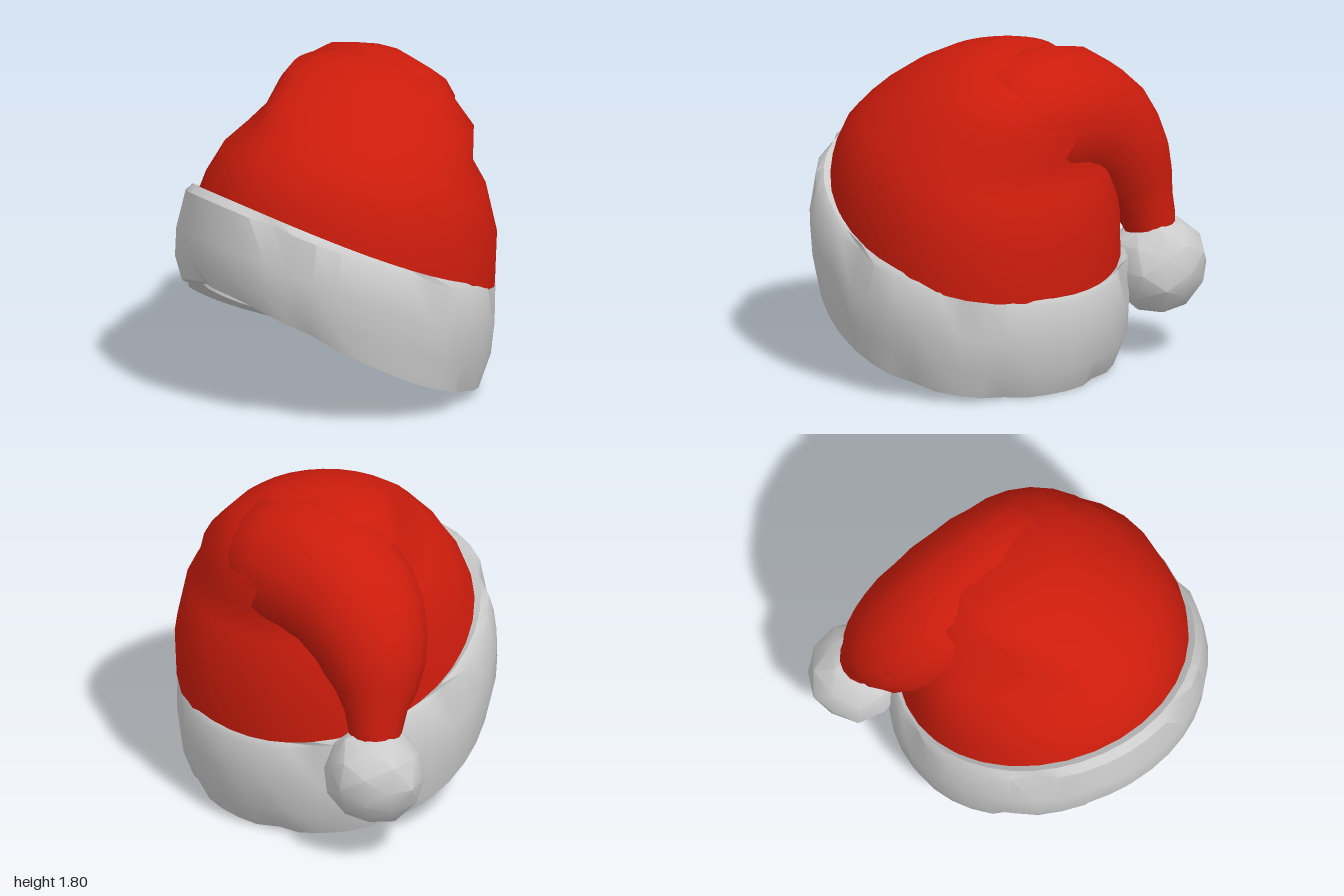
import * as THREE from 'three';
import { toCreasedNormals } from 'three/addons/utils/BufferGeometryUtils.js';

const red = new THREE.MeshStandardMaterial({ color: 0xcc1c0c });
const grey = new THREE.MeshStandardMaterial({ color: 0xcccccc });

// Skin a list of closed rings (arrays of Vector3 of equal length)
function loft(rings, crease) {
  const n = rings[0].length, pos = [];
  const tri = (a, b, c) => {
    if (a.distanceTo(b) > 1e-5 && b.distanceTo(c) > 1e-5 && c.distanceTo(a) > 1e-5)
      for (const p of [a, b, c]) pos.push(p.x, p.y, p.z);
  };
  for (let i = 0; i < rings.length - 1; i++) {
    for (let j = 0; j < n; j++) {
      const k = (j + 1) % n;
      tri(rings[i][j], rings[i][k], rings[i + 1][j]);
      tri(rings[i][k], rings[i + 1][k], rings[i + 1][j]);
    }
  }
  const g = new THREE.BufferGeometry();
  g.setAttribute('position', new THREE.Float32BufferAttribute(pos, 3));
  return toCreasedNormals(g, crease);
}

// Tilted, sagging oval; scale(j, sin, cos) pushes single points in or out
function oval(n, [xMin, xMax, zF, zB, yF, yB, yM], scale) {
  const cx = (xMin + xMax) / 2, cz = (zF + zB) / 2;
  const slope = (yF - yB) / 2, sag = (yF + yB) / 2 - yM;
  return Array.from({ length: n }, (_, j) => {
    const t = (j / n) * Math.PI * 2, s = Math.sin(t), c = Math.cos(t);
    const k = scale(j, s, c);
    return new THREE.Vector3(
      cx + (k * s * (xMax - xMin)) / 2,
      yM + slope * c + sag * c * c,
      cz + (k * c * (zF - zB)) / 2);
  });
}

function add(group, name, geometry, material) {
  const mesh = new THREE.Mesh(geometry, material);
  mesh.name = name;
  group.add(mesh);
  return mesh;
}

export function createModel() {
  const hat = new THREE.Group();
  hat.name = 'hat';

  // Fur band with its lining: inside top, down, under the rim, up the outside
  // each row: xMin, xMax, zFront, zBack, yFront, yBack, ySides
  const bandRows = [
    [0.1, 0.1, -0.1, -0.1, 1.35, 1.35, 1.35],
    [-0.36, 0.6, 0.3, -0.5, 1.28, 1.0, 1.15],
    [-0.58, 0.83, 0.62, -0.72, 1.12, 0.55, 0.8],
    [-0.58, 0.82, 0.71, -0.69, 0.67, 0.04, 0.25],
    [-0.7, 0.94, 0.82, -0.77, 0.71, 0.0, 0.22],
    [-0.74, 0.97, 0.86, -0.84, 0.84, 0.15, 0.38],
    [-0.75, 1.0, 0.85, -0.85, 0.98, 0.32, 0.58],
    [-0.72, 0.98, 0.81, -0.86, 1.19, 0.53, 0.8],
    [-0.69, 0.95, 0.76, -0.84, 1.22, 0.56, 0.83],
    [-0.64, 0.9, 0.69, -0.78, 1.18, 0.53, 0.79]
  ];
  // points pinched inwards on the lower and upper edges
  const pinches = { 4: [5, 13, 17, 22, 27, 35, 39], 7: [3, 10, 15, 24, 30, 36] };
  const bandRings = bandRows.map((r, i) =>
    oval(40, r, (j) => (pinches[i]?.includes(j) ? 0.96 : 1)));
  add(hat, 'furBand', loft(bandRings, 0.75), grey);

  // Cloth crown: hollow under the fold at the back, fuller at the back left,
  // drawn in at the front right where the tail folds away
  // each row: as above, then how far it is drawn in
  const crownRows = [
    [-0.67, 0.92, 0.73, -0.82, 1.17, 0.54, 0.78, 0],
    [-0.65, 0.92, 0.7, -0.83, 1.28, 0.85, 0.98, 0.02],
    [-0.62, 0.87, 0.63, -0.77, 1.4, 1.13, 1.22, 0.08],
    [-0.57, 0.8, 0.55, -0.71, 1.48, 1.25, 1.35, 0.16],
    [-0.5, 0.7, 0.45, -0.76, 1.57, 1.42, 1.49, 0.2],
    [-0.42, 0.53, 0.31, -0.64, 1.67, 1.64, 1.66, 0.16],
    [-0.28, 0.34, 0.14, -0.42, 1.755, 1.77, 1.76, 0],
    [-0.13, 0.17, -0.02, -0.22, 1.8, 1.8, 1.8, 0],
    [0.02, 0.02, -0.12, -0.12, 1.805, 1.805, 1.805, 0]
  ];
  const crownRings = crownRows.map((r) => oval(32, r, (j, s, c) =>
    1 + 0.12 * Math.max(0, s) * Math.max(0, -c) - 2 * r[7] * Math.max(0, -s) * Math.max(0, c)));
  add(hat, 'crown', loft(crownRings, 1.1), red);

  // Tapering tail, folded over the right side down to the bobble: x, y, z, radius
  const stops = [
    [0.5, 1.4, -0.46, 0.08], [0.28, 1.41, -0.42, 0.33], [0.02, 1.42, -0.37, 0.385],
    [-0.25, 1.38, -0.35, 0.39], [-0.47, 1.24, -0.39, 0.345], [-0.6, 1.05, -0.45, 0.275],
    [-0.67, 0.85, -0.52, 0.17], [-0.7, 0.68, -0.56, 0.13]
  ];
  const path = new THREE.CatmullRomCurve3(stops.map(([x, y, z]) => new THREE.Vector3(x, y, z)));
  const steps = 14, sides = 16, tailRings = [];
  for (let i = 0; i <= steps; i++) {
    const f = (i / steps) * (stops.length - 1), a = Math.min(Math.floor(f), stops.length - 2);
    const r = THREE.MathUtils.lerp(stops[a][3], stops[a + 1][3], f - a);
    const p = path.getPoint(i / steps), t = path.getTangent(i / steps);
    const normal = new THREE.Vector3(0, 0, 1).addScaledVector(t, -t.z).normalize();
    const binormal = new THREE.Vector3().crossVectors(t, normal);
    tailRings.push(Array.from({ length: sides }, (_, j) => {
      const v = (j / sides) * Math.PI * 2;
      return p.clone().addScaledVector(normal, r * Math.cos(v))
        .addScaledVector(binormal, r * Math.sin(v));
    }));
  }
  const startCap = Array.from({ length: sides }, () => path.getPoint(0));
  add(hat, 'foldedTail', loft([startCap, ...tailRings], 1.1), red);

  // Fur bobble, slightly lumpy
  const ball = new THREE.IcosahedronGeometry(0.275, 1);
  const p = ball.attributes.position;
  for (let i = 0; i < p.count; i++) {
    const x = p.getX(i), y = p.getY(i), z = p.getZ(i);
    const k = 1 + 0.03 * Math.sin(17 * x + 11 * y + 23 * z);
    p.setXYZ(i, x * k, y * k, z * k);
  }
  add(hat, 'bobble', toCreasedNormals(ball, 0.6), grey).position.set(-0.72, 0.51, -0.58);

  return hat;
}
